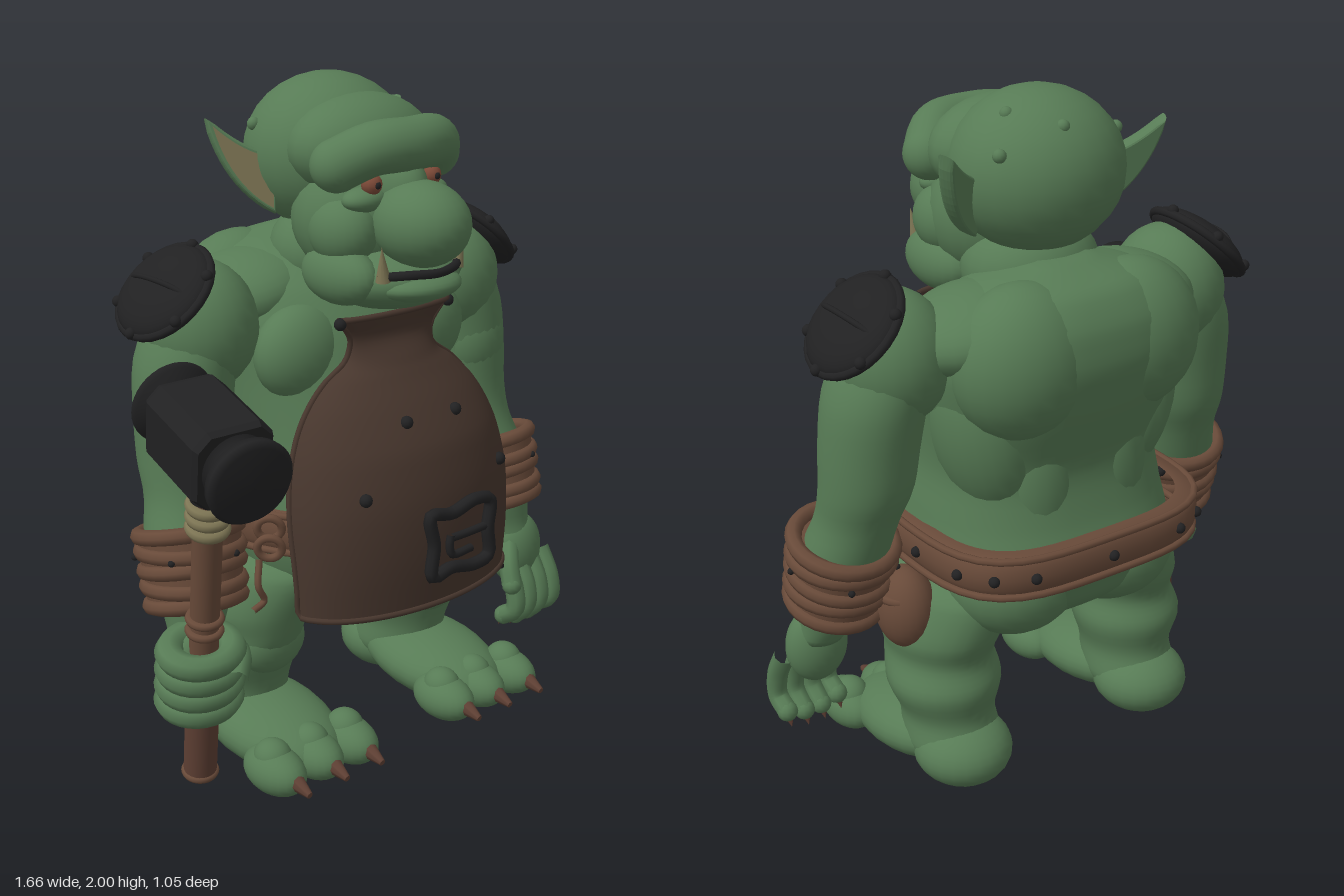
import * as THREE from 'three';

const paint = (name, color, side = THREE.FrontSide) => {
  const m = new THREE.MeshStandardMaterial({ color, side });
  m.name = name;
  return m;
};
const V = (x, y, z) => new THREE.Vector3(x, y, z);

// Smooth surface from a grid of points; closed wraps the columns round
function grid(rows, cols, closed, fn) {
  const pos = [], idx = [], w = closed ? cols : cols + 1;
  for (let i = 0; i <= rows; i++) for (let j = 0; j < w; j++) pos.push(...fn(i, j));
  for (let i = 0; i < rows; i++) for (let j = 0; j < cols; j++) {
    const a = i * w + j, b = i * w + (j + 1) % w;
    idx.push(a, a + w, b, b, a + w, b + w);
  }
  const g = new THREE.BufferGeometry();
  g.setAttribute('position', new THREE.Float32BufferAttribute(pos, 3));
  g.setIndex(idx);
  g.computeVertexNormals();
  return g;
}

// Point on a unit outline, round in front and squared off behind by power n
const outline = (a, n) => [Math.cos(a), Math.sin(a)].map(v => Math.sin(a) < 0 ? Math.sign(v) * Math.abs(v) ** (2 / n) : v);

// Body form through horizontal ellipses [x, y, z, rx, rz], listed bottom to top
function loft(rings, n = 30, steps = 32, power = 2) {
  const mid = new THREE.CatmullRomCurve3(rings.map(r => V(r[0], r[1], r[2])));
  const rad = new THREE.CatmullRomCurve3(rings.map(r => V(r[3], r[4], 0)));
  return grid(steps + 2, n, true, (i, j) => {
    const t = Math.min(Math.max((i - 1) / steps, 0), 1), [ox, oz] = outline(j / n * Math.PI * 2, power);
    const c = mid.getPoint(t), r = rad.getPoint(t), k = i === 0 || i === steps + 2 ? 0.001 : 1;
    return [c.x + r.x * k * ox, c.y, c.z + r.y * k * oz];
  });
}

export function createModel() {
  const skin = paint('green skin', 0x577b55);
  const black = paint('black iron', 0x212122);
  const hide = paint('dark apron leather', 0x47362d, THREE.DoubleSide);
  const leather = paint('brown leather', 0x684a39);
  const horn = paint('horn brown', 0x5f4034);
  const tan = paint('tan', 0x7d7554, THREE.DoubleSide);
  const red = paint('eye red', 0x7d4a38);

  const root = new THREE.Group();
  root.name = 'ogreSmith';
  const body = new THREE.Group();
  body.name = 'body';
  body.position.x = 0.06;
  root.add(body);

  const add = (name, geo, mat, p = [0, 0, 0], rot = [0, 0, 0], parent = body) => {
    const m = new THREE.Mesh(geo, mat);
    m.name = name;
    m.position.set(...p);
    m.rotation.set(...rot);
    parent.add(m);
    return m;
  };
  const bigBall = new THREE.SphereGeometry(1, 24, 16), smallBall = new THREE.SphereGeometry(1, 12, 8);
  const ball = (name, mat, p, r, rot, parent) => {
    const radii = Array.isArray(r) ? r : [r, r, r];
    add(name, Math.max(...radii) < .05 ? smallBall : bigBall, mat, p, rot, parent).scale.set(...radii);
  };
  const tube = (name, mat, pts, r, closed = false, parent = body) =>
    add(name, new THREE.TubeGeometry(new THREE.CatmullRomCurve3(pts.map(p => V(...p)), closed), closed ? 48 : 20, r, r > .05 ? 20 : 8, closed), mat, [0, 0, 0], [0, 0, 0], parent);
  const ring = (name, mat, R, r, p, rot = [Math.PI / 2, 0, 0], parent = body) =>
    add(name, new THREE.TorusGeometry(R, r, 8, 28), mat, p, rot, parent);

  // Torso
  add('torso', loft([[0, .46, -.08, .1, .1], [0, .51, -.09, .26, .24], [0, .6, -.07, .37, .36], [0, .72, -.07, .4, .39],
    [0, .85, -.06, .385, .36], [0, 1, -.08, .365, .32], [0, 1.15, -.13, .38, .32], [0, 1.3, -.175, .4, .315],
    [0, 1.42, -.205, .36, .275], [0, 1.51, -.23, .25, .19], [0, 1.56, -.23, .08, .06]], 48, 48, 2.5), skin);
  ball('neck', skin, [0, 1.5, -.1], [.2, .15, .18]);

  // Head and face
  ball('cranium', skin, [0, 1.775, -.13], [.25, .225, .235]);
  ball('forehead', skin, [0, 1.81, .01], [.235, .145, .16]);
  ball('face', skin, [0, 1.62, .03], [.22, .2, .19]);
  ball('jaw', skin, [0, 1.465, .13], [.205, .095, .2]);
  ball('lowerLip', skin, [0, 1.455, .25], [.14, .045, .11]);
  tube('brow', skin, [[-.18, 1.785, .12], [-.11, 1.83, .185], [0, 1.835, .21], [.11, 1.83, .185], [.18, 1.785, .12]], .074);
  ball('noseBridge', skin, [0, 1.71, .17], [.07, .1, .1]);
  ball('nose', skin, [0, 1.625, .265], [.13, .12, .15]);
  tube('mouth', black, [[-.15, 1.495, .255], [-.08, 1.502, .315], [0, 1.5, .338], [.08, 1.502, .315], [.15, 1.495, .255]], .013);
  [[.03, 1.925, -.29], [.13, 1.95, -.18], [-.22, 1.865, -.19], [.2, 1.865, -.25]].forEach(p => ball('wart', skin, p, .019));

  for (const s of [-1, 1]) {
    // Eyes, cheeks, tusks, ears
    ball('browEnd', skin, [s * .18, 1.785, .12], .074);
    ball('eye', red, [s * .11, 1.735, .185], .03);
    ball('pupil', black, [s * .11, 1.735, .208], .011);
    ball('eyeBag', skin, [s * .115, 1.69, .16], [.07, .035, .05]);
    ball('cheek', skin, [s * .14, 1.6, .1], [.09, .1, .11]);
    ball('jowl', skin, [s * .16, 1.48, .11], [.075, .085, .14]);
    add('tusk', new THREE.ConeGeometry(.022, .1, 12), tan, [s * .145, 1.535, .27], [.1, 0, -s * .15]);
    const earShape = k => {
      const sh = new THREE.Shape(), q = (x, y) => [s * (.06 + (x - .06) * k), .03 + (y - .03) * k];
      sh.moveTo(...q(0, .1));
      sh.quadraticCurveTo(...q(.09, .12), ...q(.18, .22));
      sh.quadraticCurveTo(...q(.15, .03), ...q(.02, -.06));
      return sh;
    };
    const ear = new THREE.Group();
    ear.name = 'ear';
    ear.position.set(s * .2, 1.69, -.1);
    ear.rotation.set(-.2, s * .42, 0);
    body.add(ear);
    add('earFlap', new THREE.ExtrudeGeometry(earShape(.95), { depth: .012, bevelSize: .008, bevelThickness: .018, bevelSegments: 3 }), skin, [0, 0, -.03], [0, 0, 0], ear);
    add('innerEar', new THREE.ShapeGeometry(earShape(.88)), tan, [0, 0, .003], [0, 0, 0], ear);

    // Chest, back and hip muscles
    ball('pectoral', skin, [s * .23, 1.25, .02], [.15, .14, .1]);
    ball('trapezius', skin, [s * .26, 1.4, -.2], [.2, .11, .19], [0, 0, -s * .2]);
    ball('shoulderBlade', skin, [s * .18, 1.32, -.32], [.21, .22, .172]);
    ball('sideBack', skin, [s * .24, 1.1, -.22], [.14, .26, .165], [0, 0, -s * .2]);
    ball('lowerBack', skin, [s * .12, .95, -.28], [.13, .28, .125]);
    ball('buttock', skin, [s * .17, .645, -.25], [.2, .17, .195]);

    // Arm
    ball('deltoid', skin, [s * .47, 1.34, -.13], [.165, .19, .175]);
    add('arm', loft([[s * .635, .45, .05, .07, .07], [s * .62, .52, .02, .078, .085], [s * .605, .6, 0, .1, .105], [s * .59, .75, -.04, .125, .13],
      [s * .565, .87, -.08, .118, .125], [s * .55, .97, -.11, .13, .135], [s * .54, 1.1, -.12, .137, .145],
      [s * .52, 1.25, -.13, .14, .155], [s * .47, 1.4, -.13, .12, .14], [s * .45, 1.47, -.13, .06, .06]]), skin);
    ball('biceps', skin, [s * .535, 1.13, -.07], [.115, .15, .1]);

    // Wrapped bracer
    const bracer = new THREE.Group();
    bracer.name = 'bracer';
    bracer.position.set(s * .595, .69, -.02);
    bracer.rotation.set(-.22, 0, s * .06);
    body.add(bracer);
    add('bracerSleeve', new THREE.CylinderGeometry(.148, .136, .2, 36), leather, [0, 0, 0], [0, 0, 0], bracer);
    [-.1, -.05, 0, .05, .1].forEach((y, i) => ring('bracerBand', leather, .129 + i * .003, .024, [0, y, 0], [Math.PI / 2 + (i % 2 ? .06 : -.05), 0, 0], bracer));
    for (let i = 0; i < 5; i++) ball('bracerStud', black, [.158 * Math.cos(i * 1.26), .035, .158 * Math.sin(i * 1.26)], .01, [0, 0, 0], bracer);

    // Domed shoulder pad
    const pad = new THREE.Group();
    pad.name = 'shoulderPad';
    pad.position.set(s * .578, 1.453, -.135);
    pad.rotation.z = -s * Math.PI / 4;
    body.add(pad);
    ball('padDome', black, [0, 0, 0], [.152, .058, .162], [0, 0, 0], pad);
    ring('padRim', black, .15, .013, [0, 0, 0], [Math.PI / 2, 0, 0], pad).scale.y = 1.06;
    tube('padRidge', black, [[0, .012, -.15], [0, .05, -.08], [0, .06, 0], [0, .05, .08], [0, .012, .15]], .008, false, pad);
    for (let i = 0; i < 6; i++) ball('padRivet', black, [.15 * Math.cos(i * 1.047), .012, .158 * Math.sin(i * 1.047)], .017, [0, 0, 0], pad);

    // Leg and three-toed foot
    add('leg', loft([[s * .33, .06, -.18, .1, .12], [s * .33, .13, -.17, .14, .16], [s * .33, .21, -.15, .135, .15], [s * .335, .32, -.14, .167, .175],
      [s * .33, .4, -.11, .152, .18], [s * .32, .48, -.11, .17, .205], [s * .27, .6, -.1, .18, .23], [s * .24, .68, -.1, .1, .12]]), skin);
    ball('knee', skin, [s * .33, .37, -.01], [.12, .1, .07]);
    ball('heel', skin, [s * .33, .105, -.23], [.145, .105, .15]);
    ball('instep', skin, [s * .335, .105, -.01], [.175, .1, .27], [.12, 0, 0]);
    for (const x of [.2, .335, .475]) {
      ball('toe', skin, [s * x, .078, .19], [.075, .07, .115]);
      ball('toeKnuckle', skin, [s * x, .115, .18], [.055, .055, .06]);
      add('toeClaw', new THREE.CylinderGeometry(.01, .033, .09, 8), horn, [s * x, .075, .305], [Math.PI / 2 + .25, 0, 0]);
    }
  }

  // Open left hand
  ball('leftPalm', skin, [.64, .42, .06], [.095, .12, .07]);
  for (let i = 0; i < 4; i++) {
    const x = .57 + i * .055, y = .19 + (i === 0 || i === 3 ? .015 : 0);
    tube('leftFinger', skin, [[x, .4, .08], [x + .005, .31, .125], [x + .005, .24, .13], [x, y, .085]], .031);
    ball('leftFingertip', skin, [x, y, .085], .031);
    add('fingerClaw', new THREE.ConeGeometry(.017, .04, 8), horn, [x, y - .025, .07], [Math.PI + .4, 0, 0]);
  }
  tube('leftThumb', skin, [[.6, .46, .07], [.55, .41, .12], [.535, .345, .15]], .032);
  ball('leftThumbTip', skin, [.535, .345, .15], .032);

  // Apron: rows of [y, half width, front z, edge z] from top to bottom
  const rows = [[1.365, .205, .2, .16], [1.3, .155, .187, .15], [1.235, .165, .22, .14], [1.185, .235, .255, .135], [1.11, .31, .31, .14],
    [1, .365, .37, .15], [.85, .395, .4, .17], [.7, .395, .4, .19], [.54, .385, .385, .2]];
  const yw = new THREE.CatmullRomCurve3(rows.map(r => V(r[0], r[1], 0))), zz = new THREE.CatmullRomCurve3(rows.map(r => V(r[2], r[3], 0)));
  const apronAt = (t, u) => {
    const a = yw.getPoint(t), b = zz.getPoint(t), q = u * Math.PI / 2;
    return [a.y * Math.sin(q), a.x, b.y + (b.x - b.y) * Math.cos(q)];
  };
  add('apron', grid(40, 32, false, (i, j) => apronAt(i / 40, j / 16 - 1)), hide);
  const steps = n => Array.from({ length: n + 1 }, (_, i) => i / n);
  const hem = [...steps(16).map(t => apronAt(t, -1)), ...steps(12).slice(1).map(t => apronAt(1, t * 2 - 1)),
    ...steps(16).slice(1).map(t => apronAt(1 - t, 1)), ...steps(8).slice(1, -1).map(t => apronAt(0, 1 - t * 2))];
  add('apronHem', new THREE.TubeGeometry(new THREE.CatmullRomCurve3(hem.map(p => V(...p)), true), 140, .009, 8, true), hide);
  for (const s of [-1, 1]) {
    ball('apronRivet', black, [s * .093, 1.085, .318], .019);
    ball('apronRivet', black, [s * .26, .9, .338], .019);
    ball('apronKnot', black, [s * .205, 1.355, .165], .018);
  }

  // Buckle
  tube('buckleFrame', black, [[-.12, .85, .45], [-.04, .84, .45], [.05, .86, .45], [.11, .845, .45], [.105, .76, .45], [.11, .675, .45],
    [.05, .66, .45], [-.04, .675, .45], [-.11, .665, .45], [-.105, .76, .45]], .019, true);
  tube('buckleProng', black, [[.1, .768, .45], [.02, .765, .45], [-.04, .765, .45]], .012);
  tube('buckleBar', black, [[-.04, .775, .45], [-.045, .745, .45], [-.035, .715, .45], [.04, .715, .45]], .012);

  // Belt squared over the hips, with rolled edges, studs, pouch and ties
  const beltAt = (a, r, y) => {
    const [x, z] = outline(a, 3.6);
    return [x * r, y, z * (r - .015) - .085];
  };
  const profile = [[.38, .7], [.42, .7], [.433, .73], [.436, .76], [.433, .79], [.42, .82], [.38, .82]];
  add('belt', grid(6, 56, true, (i, j) => beltAt(j / 28 * Math.PI, ...profile[i])), leather);
  for (const y of [.705, .815]) tube('beltEdge', leather, steps(32).slice(1).map(t => beltAt(t * 2 * Math.PI, .428, y)), .011, true);
  for (let i = 0; i < 9; i++) ball('beltStud', black, beltAt(Math.PI * (1.02 + i * .12), .436, .76), .016);
  ball('pouch', leather, [.45, .57, -.13], [.085, .125, .1]);
  ring('pouchFlap', leather, .07, .015, [.45, .62, -.13]);
  for (const x of [.36, .47]) tube('beltTie', black, [[.42, .78, .14], [.42, .68, .16], [x, .43, .16]], .011);
  for (const s of [-1, 1]) for (const y of [.73, .79]) ring('beltKnot', leather, .035, .012, [s * .42, y, .11], [.3, s * .7, y * 9]);
  tube('looseCord', leather, [[-.45, .7, .1], [-.47, .63, .12], [-.45, .58, .12], [-.49, .56, .12]], .01);

  // Hammer, its own up axis along the handle and z along the head
  const hammer = new THREE.Group();
  hammer.name = 'hammer';
  hammer.position.set(-.58, .07, .05);
  const up = V(-.08, .93, .19).normalize(), fwd = V(-.15, -.2, 1);
  fwd.addScaledVector(up, -fwd.dot(up)).normalize();
  hammer.quaternion.setFromRotationMatrix(new THREE.Matrix4().makeBasis(V(0, 0, 0).crossVectors(up, fwd), up, fwd));
  root.add(hammer);
  const rod = (name, mat, r1, r2, y0, y1) => add(name, new THREE.CylinderGeometry(r2, r1, y1 - y0, 24), mat, [0, (y0 + y1) / 2, 0], [0, 0, 0], hammer);
  rod('handle', leather, .04, .042, 0, 1.1);
  rod('handleGrip', horn, .048, .048, .01, .23);
  for (const y of [.01, .23, .52, .56]) ring('handleRing', leather, .043, .012, [0, y, 0], [Math.PI / 2, 0, 0], hammer);
  for (const y of [.86, .895, .93]) ring('cordBinding', tan, .047, .016, [0, y, 0], [Math.PI / 2 + .1, 0, 0], hammer);
  rod('hammerCollar', black, .05, .07, .95, 1.04);
  const oct = new THREE.Shape([[-.105, -.07], [-.07, -.105], [.07, -.105], [.105, -.07], [.105, .07], [.07, .105], [-.07, .105], [-.105, .07]].map(p => new THREE.Vector2(...p)));
  add('hammerBlock', new THREE.ExtrudeGeometry(oct, { depth: .25, bevelSize: .008, bevelThickness: .02, bevelSegments: 1 }), black, [0, 1.12, -.135], [0, 0, 0], hammer);
  const face = [[0, 0], [.095, 0], [.075, .03], [.085, .05], [.116, .058], [.12, .08], [.105, .098], [0, .102]].map(p => new THREE.Vector2(...p));
  for (const s of [-1, 1]) add('hammerFace', new THREE.LatheGeometry(face, 36), black, [0, 1.125, s * .133], [s * Math.PI / 2, 0, 0], hammer);

  // Right fist wrapped round the handle
  ball('rightPalm', skin, [-.01, .37, -.05], [.1, .11, .07], [0, 0, 0], hammer);
  for (let i = 0; i < 4; i++) ring('rightFinger', skin, .078, .036, [-.01, .29 + i * .055, 0], [Math.PI / 2 + .05, 0, 0], hammer).scale.x = 1.15;
  tube('rightThumb', skin, [[.06, .44, -.05], [.1, .42, .02], [.05, .4, .1]], .033, false, hammer);

  return root;
}
